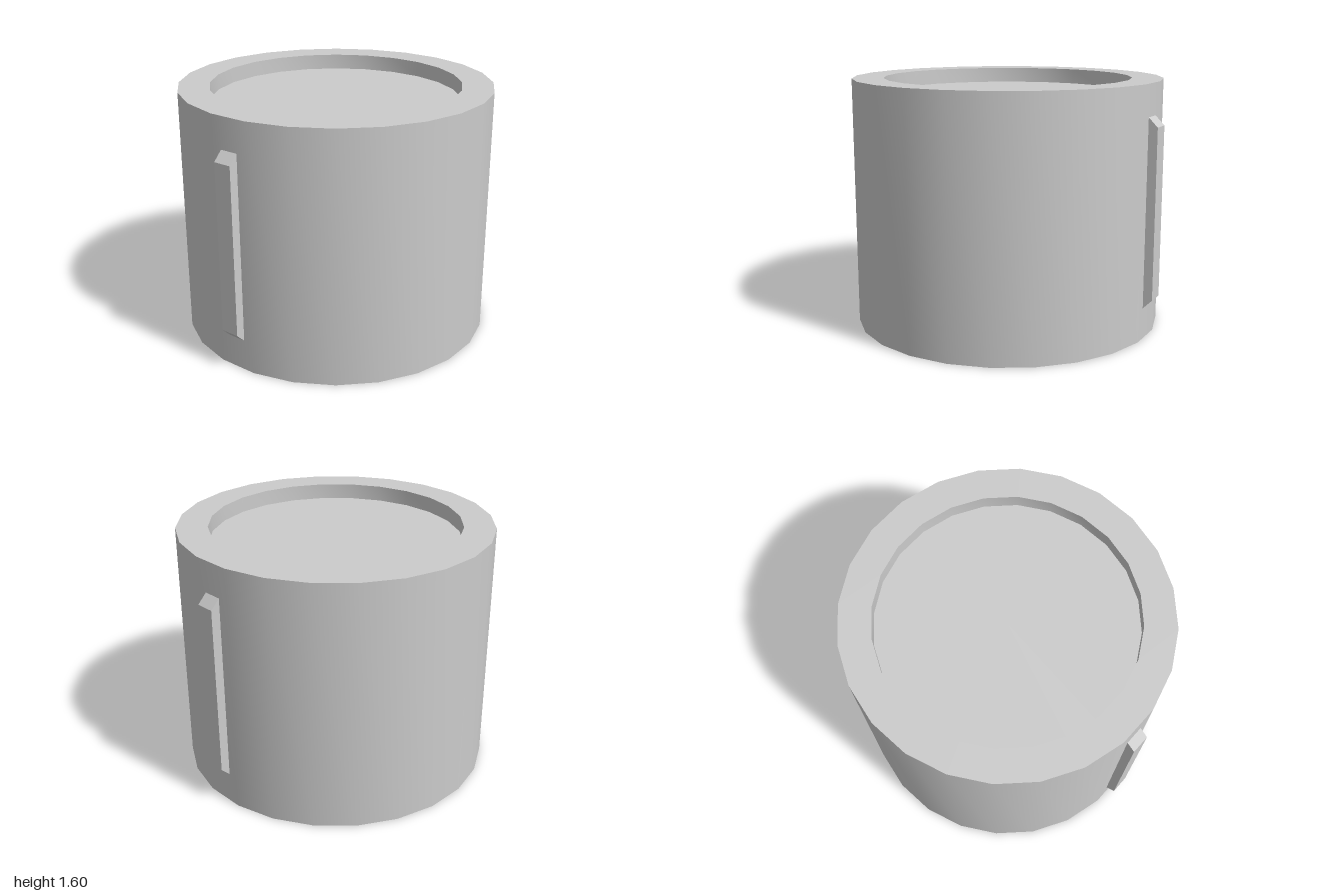
import * as THREE from 'three';
import { toCreasedNormals } from 'three/addons/utils/BufferGeometryUtils.js';

export function createModel() {
  const model = new THREE.Group();
  model.name = 'drum';
  const material = new THREE.MeshStandardMaterial({ color: 0xcccccc });

  // Body: 24-sided drum with a shallow recess in both ends
  const profile = [
    [0, 0.1], [0.8, 0.1], [0.8, 0], [1, 0],
    [1, 1.6], [0.8, 1.6], [0.8, 1.5], [0, 1.5],
  ].map(([r, y]) => new THREE.Vector2(r, y));
  const body = new THREE.Mesh(
    toCreasedNormals(new THREE.LatheGeometry(profile, 24), Math.PI / 6),
    material,
  );
  body.name = 'body';
  model.add(body);

  // Side ribs: upright bars with bevelled ends, on two opposite facets
  const outline = new THREE.Shape([
    new THREE.Vector2(0.99, 0.2),
    new THREE.Vector2(1.05, 0.26),
    new THREE.Vector2(1.05, 1.34),
    new THREE.Vector2(0.99, 1.4),
  ]);
  const width = 0.12;
  const ribGeometry = new THREE.ExtrudeGeometry(outline, { depth: width, bevelEnabled: false });
  ribGeometry.translate(0, 0, -width / 2);
  for (const [name, turn] of [['leftRib', 0], ['rightRib', Math.PI]]) {
    const rib = new THREE.Mesh(ribGeometry, material);
    rib.name = name;
    rib.rotation.y = Math.PI / 8 + turn;
    model.add(rib);
  }

  return model;
}
